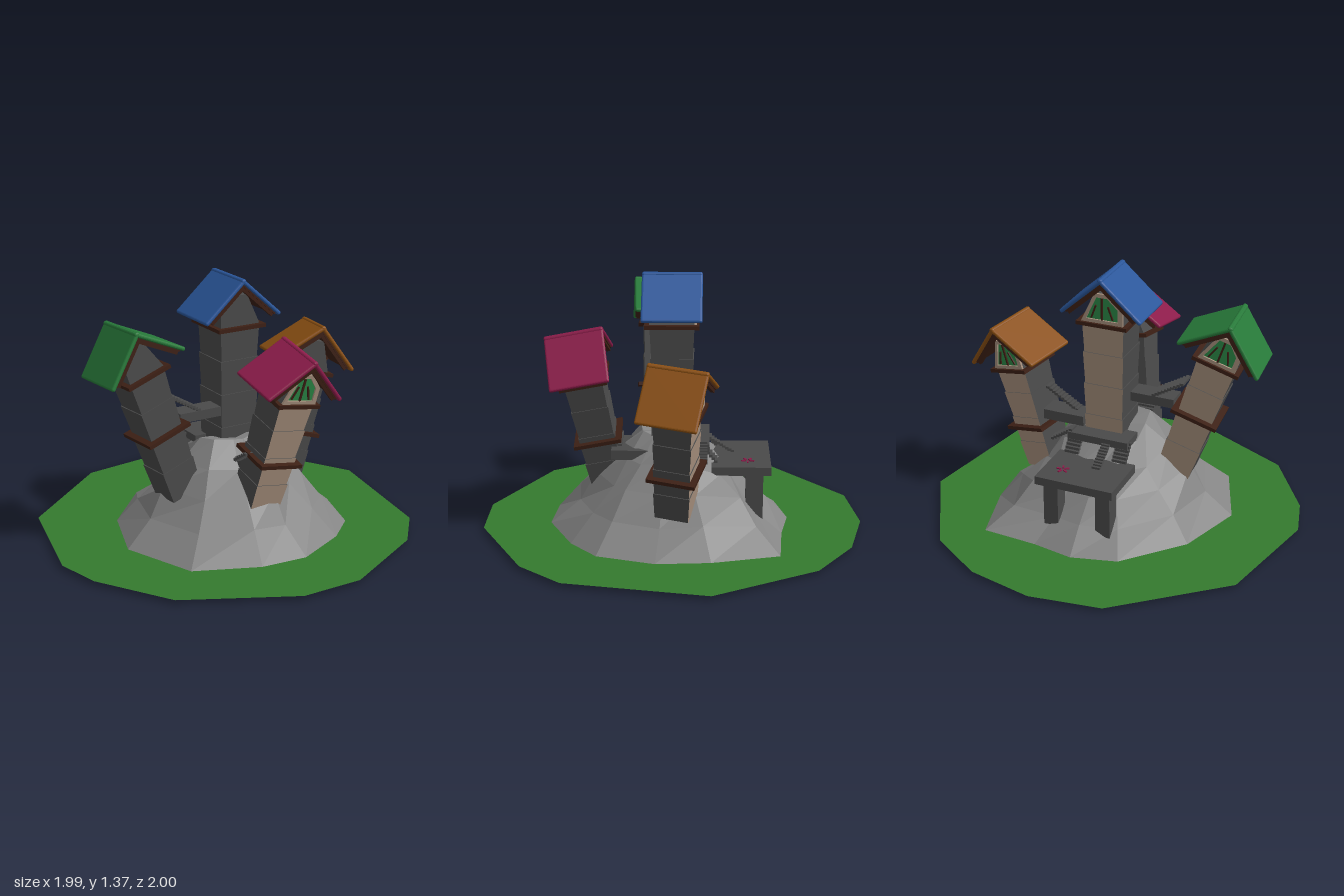
import * as THREE from 'three';
import { RoundedBoxGeometry } from 'three/addons/geometries/RoundedBoxGeometry.js';

const mat = (color, extra = {}) => new THREE.MeshStandardMaterial({ color, flatShading: true, ...extra });
const STONE = mat(0x4a4a4a), PLASTER = mat(0xa8917e), WOOD = mat(0x3d2015);
const GLASS = mat(0x2c8a48), PINK = mat(0x8c1c4a);
const ROCK = mat(0x858585, { side: THREE.DoubleSide });
const GRASS = mat(0x347a2e, { side: THREE.DoubleSide });

function add(parent, name, geometry, material, x = 0, y = 0, z = 0) {
  const mesh = new THREE.Mesh(geometry, material);
  mesh.name = name;
  mesh.position.set(x, y, z);
  parent.add(mesh);
  return mesh;
}

// Box given by its limits on each axis
function slab(parent, name, [x0, x1], [y0, y1], [z0, z1], material = STONE) {
  return add(parent, name, new THREE.BoxGeometry(x1 - x0, y1 - y0, z1 - z0), material,
    (x0 + x1) / 2, (y0 + y1) / 2, (z0 + z1) / 2);
}

// Flight of thin treads between two points
function stairs(parent, name, a, b, width, n) {
  const flight = new THREE.Group();
  flight.name = name;
  const from = new THREE.Vector3(...a), to = new THREE.Vector3(...b);
  const run = Math.hypot(to.x - from.x, to.z - from.z);
  const geo = new THREE.BoxGeometry(width, 0.014, run / n * 1.25);
  for (let i = 0; i < n; i++) {
    const tread = add(flight, 'tread', geo, STONE);
    tread.position.lerpVectors(from, to, (i + 0.5) / n);
    tread.rotation.y = Math.atan2(to.x - from.x, to.z - from.z);
  }
  parent.add(flight);
}

// Stone block, narrower at the bottom, plastered on its front
function block(w, h, taper) {
  const geo = new THREE.BoxGeometry(w, h, w);
  const p = geo.attributes.position;
  for (let i = 0; i < p.count; i++) {
    if (p.getY(i) < 0) p.setXYZ(i, p.getX(i) * taper, p.getY(i), p.getZ(i) * taper);
  }
  geo.computeVertexNormals();
  return geo;
}

const gable = (h, k = 1) => new THREE.Shape([
  [-h, 0], [h, 0], [h, 0.09], [0.04, 0.16], [-0.04, 0.16],
].map(([x, y]) => new THREE.Vector2(x * k, (y - 0.075) * k + 0.075)));

// Leaning tower running from its base to the middle of its roof ridge
function tower({ name, base, ridge, yaw, w, color, lowBand }) {
  const g = new THREE.Group();
  g.name = name;
  const axis = new THREE.Vector3(...ridge).sub(new THREE.Vector3(...base));
  const L = axis.length(), up = new THREE.Vector3(0, 1, 0), h = w / 2;
  g.position.set(...base);
  g.quaternion.setFromUnitVectors(up, axis.normalize())
    .multiply(new THREE.Quaternion().setFromAxisAngle(up, yaw));

  // Stacked wall blocks
  const n = 4, bh = (L - 0.25) / n;
  for (let i = 0; i < n; i++) {
    add(g, 'wallBlock', block(w * (0.94 + 0.02 * i), bh, 0.93),
      [STONE, STONE, STONE, STONE, PLASTER, STONE], 0, bh * (i + 0.5), 0);
  }

  // Wooden bands
  const bands = lowBand ? [L - 0.26, L - 0.6] : [L - 0.26];
  for (const y of bands) {
    add(g, 'woodBand', new THREE.BoxGeometry(w + 0.05, 0.02, w + 0.05), WOOD, 0, y, 0);
  }

  // Gable room with a framed window
  const y0 = L - 0.25;
  add(g, 'gableRoom', new THREE.ExtrudeGeometry(gable(h), { depth: w, bevelEnabled: false }), STONE, 0, y0, -h);
  const frame = gable(h);
  frame.holes.push(new THREE.Path(gable(h, 0.76).getPoints()));
  add(g, 'windowFrame', new THREE.ExtrudeGeometry(frame, { depth: 0.012, bevelEnabled: false }), PLASTER, 0, y0, h);
  add(g, 'windowPane', new THREE.ShapeGeometry(gable(h, 0.77)), GLASS, 0, y0, h + 0.003);
  add(g, 'windowBar', new THREE.BoxGeometry(0.01, 0.12, 0.01), WOOD, 0, y0 + 0.077, h + 0.006);
  for (const s of [-1, 1]) {
    const bar = add(g, 'windowBar', new THREE.BoxGeometry(0.008, 0.075, 0.01), WOOD, s * h * 0.4, y0 + 0.06, h + 0.006);
    bar.rotation.z = s * 0.35;
  }

  // Two roof slopes, each with a wooden underlay and edge rafters
  const slope = 0.727, len = 0.3;
  for (const s of [-1, 1]) {
    const side = new THREE.Group();
    side.name = 'roofSlope';
    side.position.y = L;
    side.rotation.z = -s * slope;
    add(side, 'roofPanel', new RoundedBoxGeometry(len + 0.01, 0.022, 0.31, 2, 0.01), mat(color), s * len / 2, -0.011, 0);
    add(side, 'roofUnderlay', new THREE.BoxGeometry(len - 0.02, 0.01, 0.29), WOOD, s * (len / 2 - 0.01), -0.026, 0);
    for (const z of [-0.13, 0.13]) {
      add(side, 'rafter', new THREE.BoxGeometry(len - 0.04, 0.02, 0.02), WOOD, s * (len / 2 - 0.005), -0.038, z);
    }
    g.add(side);
  }
  return g;
}

export function createModel() {
  const model = new THREE.Group();

  // Outline of the hill foot and of the grass around it, as x, z
  const foot = [[0, -0.61], [0.22, -0.57], [0.52, -0.55], [0.61, -0.2], [0.63, 0.08], [0.54, 0.38], [0.38, 0.52],
    [0.1, 0.65], [-0.15, 0.63], [-0.48, 0.49], [-0.63, 0.1], [-0.51, -0.26], [-0.24, -0.55]];
  const rim = [[-0.33, -0.95], [0.05, -1], [0.4, -0.92], [0.69, -0.73], [0.99, -0.2], [0.86, 0.53], [0.67, 0.75],
    [0.18, 1], [-0.15, 1], [-0.7, 0.72], [-0.94, 0.34], [-1, 0.1], [-0.86, -0.51]];
  const toVec = ([x, z]) => new THREE.Vector2(x, -z);
  const lawn = new THREE.Shape(rim.map(toVec));
  lawn.holes.push(new THREE.Path(foot.map(toVec)));
  add(model, 'grass', new THREE.ShapeGeometry(lawn), GRASS, 0, 0.02, 0).rotation.x = -Math.PI / 2;

  // Rocky hill from shrinking rings, lower towards the back
  const rings = [[1, 0.02], [0.78, 0.155], [0.61, 0.29], [0.45, 0.41], [0.27, 0.53]];
  const verts = [], faces = [], n = foot.length;
  rings.forEach(([f, y], r) => foot.forEach(([x, z], i) => {
    const bump = r ? 0.025 * Math.sin(i * 2.3 + r * 1.7) : 0;
    const drop = r && z < -0.2 ? 0.85 : 1;
    verts.push(x * (f + bump), y * drop + bump * 0.5, z * (f + bump));
    const a = r * n + i, b = r * n + (i + 1) % n;
    if (r < rings.length - 1) faces.push(a, a + n, b, b, a + n, b + n);
    else faces.push(a, rings.length * n, b);
  }));
  verts.push(-0.02, 0.5, 0);
  const hill = new THREE.BufferGeometry();
  hill.setAttribute('position', new THREE.Float32BufferAttribute(verts, 3));
  hill.setIndex(faces);
  hill.computeVertexNormals();
  add(model, 'hill', hill, ROCK);

  // Towers
  const B = Math.PI;
  [
    { name: 'centralTower', base: [0.03, 0.4, 0.005], ridge: [0.03, 1.37, 0.005], yaw: B, w: 0.23, color: 0x2a569a },
    { name: 'leftTower', base: [0.385, 0.21, -0.02], ridge: [0.6, 1.025, -0.035], yaw: B - 0.25, w: 0.2, color: 0x8a4f12, lowBand: true },
    { name: 'rightTower', base: [-0.32, 0.28, 0.08], ridge: [-0.63, 1.2, 0.075], yaw: B + 0.07, w: 0.205, color: 0x287a3a, lowBand: true },
    { name: 'frontTower', base: [-0.01, 0.23, 0.34], ridge: [0.135, 1.08, 0.51], yaw: 0, w: 0.2, color: 0x8c1c4a, lowBand: true },
  ].forEach((t) => model.add(tower(t)));

  // Bridges and landings around the central tower
  slab(model, 'rightBridge', [-0.32, -0.08], [0.65, 0.7], [0, 0.11]);
  slab(model, 'leftBridge', [0.14, 0.37], [0.51, 0.565], [-0.12, 0]);
  slab(model, 'frontBridge', [-0.06, 0.19], [0.41, 0.46], [0.08, 0.32]);
  slab(model, 'backLanding', [-0.14, 0.2], [0.46, 0.5], [-0.19, -0.05]);
  stairs(model, 'rightStairs', [-0.37, 0.8, 0.055], [-0.2, 0.7, 0.055], 0.11, 10);
  stairs(model, 'leftUpperStairs', [0.2, 0.56, -0.03], [0.38, 0.67, -0.03], 0.06, 11);
  stairs(model, 'leftLowerStairs', [0.18, 0.51, -0.15], [0.3, 0.43, -0.15], 0.06, 8);
  stairs(model, 'frontStairs', [0.01, 0.46, 0.27], [0.01, 0.53, 0.38], 0.22, 6);
  stairs(model, 'backStairs', [-0.02, 0.39, -0.32], [-0.02, 0.48, -0.17], 0.045, 10);
  for (const x of [-0.11, 0.16]) stairs(model, 'sideStairs', [x, 0.4, -0.23], [x, 0.49, -0.15], 0.08, 6);

  // Terrace behind the hill on two piers
  slab(model, 'terrace', [-0.19, 0.24], [0.345, 0.39], [-0.51, -0.2]);
  slab(model, 'pier', [-0.16, -0.08], [0, 0.35], [-0.47, -0.38]);
  slab(model, 'pier', [0.13, 0.21], [0.03, 0.35], [-0.47, -0.38]);

  // Small painted star on the terrace
  for (let i = 0; i < 5; i++) {
    const a = i * Math.PI * 0.4;
    add(model, 'starRay', new THREE.BoxGeometry(0.025, 0.006, 0.009), PINK,
      0.135 + 0.022 * Math.cos(a), 0.393, -0.39 - 0.022 * Math.sin(a)).rotation.y = a;
  }
  return model;
}
